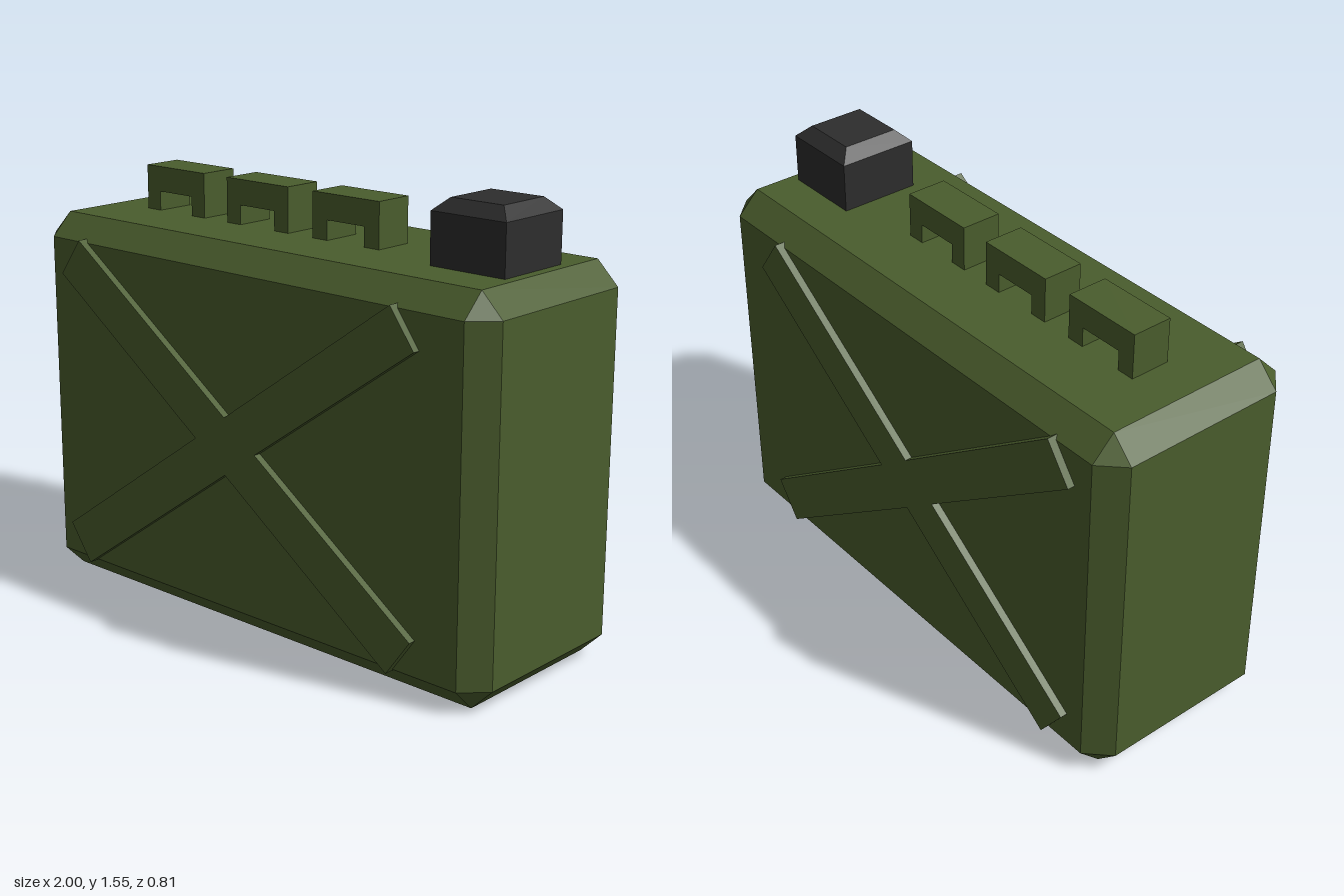
import * as THREE from 'three';
import { ConvexGeometry } from 'three/addons/geometries/ConvexGeometry.js';

const green = new THREE.MeshStandardMaterial({ name: 'olive green', color: 0x4a5d2d });
const black = new THREE.MeshStandardMaterial({ name: 'cap black', color: 0x2d2d2d });

function addMesh(parent, name, geometry, material, x = 0, y = 0, z = 0) {
  const mesh = new THREE.Mesh(geometry, material);
  mesh.name = name;
  mesh.position.set(x, y, z);
  parent.add(mesh);
  return mesh;
}

// Box with every edge and corner cut off by c
function chamferedBox(w, h, d, c) {
  const points = [];
  for (const sx of [-1, 1]) for (const sy of [-1, 1]) for (const sz of [-1, 1]) {
    for (let axis = 0; axis < 3; axis++) {
      const half = [w / 2 - c, h / 2 - c, d / 2 - c];
      half[axis] += c;
      points.push(new THREE.Vector3(sx * half[0], sy * half[1], sz * half[2]));
    }
  }
  return new ConvexGeometry(points);
}

const shapeOf = (pts) => new THREE.Shape(pts.map(([x, y]) => new THREE.Vector2(x, y)));

export function createModel() {
  const group = new THREE.Group();
  group.name = 'fuelCan';
  const H = 1.333;

  // Chamfered can body
  addMesh(group, 'body', chamferedBox(2, H, 0.754, 0.08), green, 0, H / 2, 0);

  // Raised X-shaped ribs on both broad sides
  const cross = shapeOf([
    [-0.8, -0.465], [-0.705, -0.597], [0, -0.1], [0.708, -0.597], [0.803, -0.465], [0.138, 0],
    [0.803, 0.467], [0.708, 0.597], [0, 0.1], [-0.705, 0.597], [-0.8, 0.467], [-0.138, 0],
  ]);
  const ribs = new THREE.ExtrudeGeometry(cross, { depth: 0.06, bevelEnabled: false });
  addMesh(group, 'frontCrossRib', ribs, green, -0.049, 0.668, 0.343);
  addMesh(group, 'backCrossRib', ribs, green, -0.049, 0.668, -0.403);

  // Three bridge handles along the top
  const bridge = shapeOf([
    [-0.144, -0.01], [-0.08, -0.01], [-0.08, 0.068], [0.08, 0.068],
    [0.08, -0.01], [0.144, -0.01], [0.144, 0.157], [-0.144, 0.157],
  ]);
  const handle = new THREE.ExtrudeGeometry(bridge, { depth: 0.144, bevelEnabled: false });
  for (let i = 0; i < 3; i++) {
    addMesh(group, 'handle' + (i + 1), handle, green, -0.614 + i * 0.4, H, -0.075);
  }

  // Square cap with a bevelled top
  const cap = [];
  for (const [half, y] of [[0.144, -0.01], [0.144, 0.172], [0.101, 0.213]]) {
    for (const sx of [-1, 1]) for (const sz of [-1, 1]) {
      cap.push(new THREE.Vector3(sx * half, y, sz * half));
    }
  }
  addMesh(group, 'cap', new ConvexGeometry(cap), black, 0.742, H, -0.003);

  return group;
}
